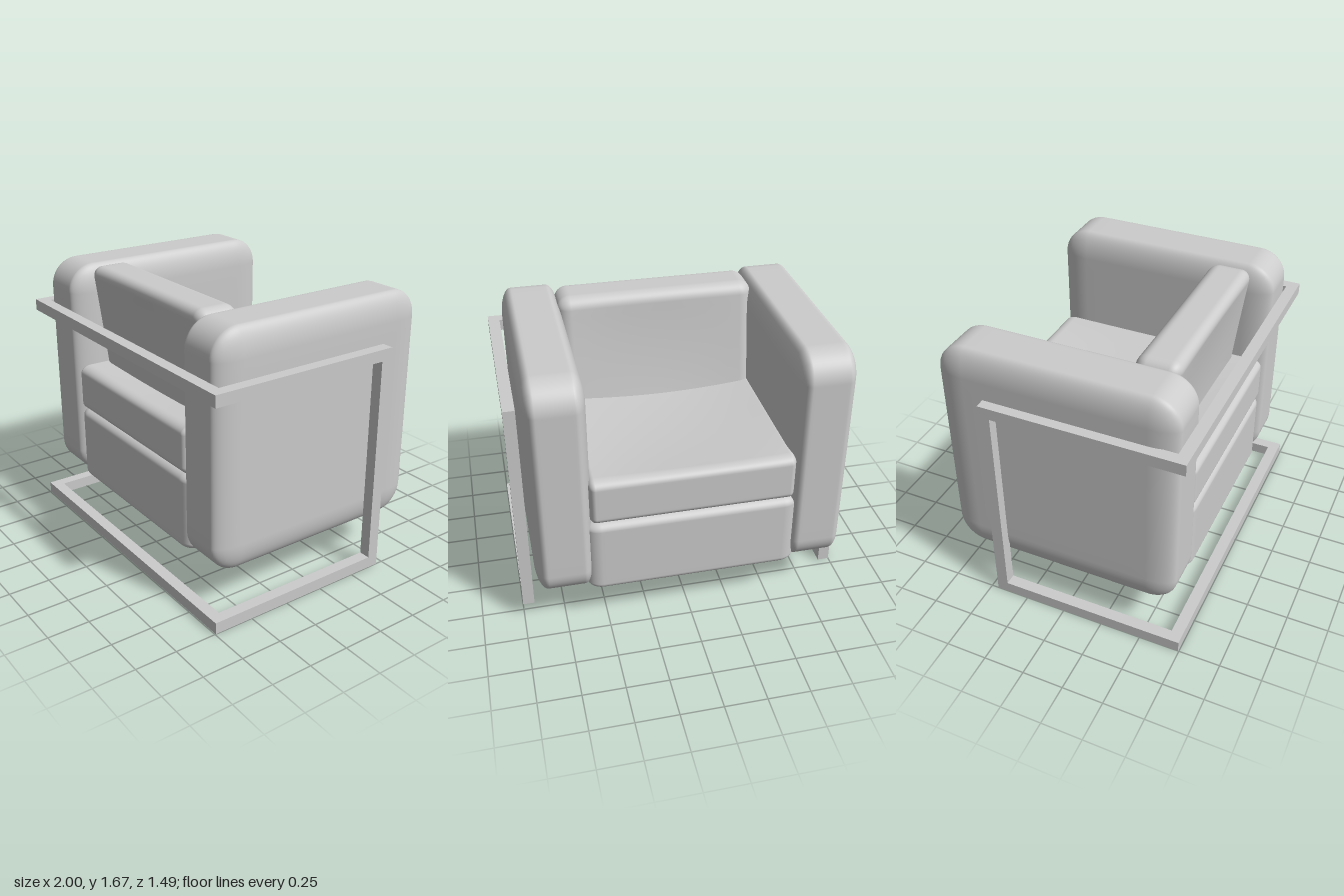
import * as THREE from 'three';
import { mergeVertices } from 'three/addons/utils/BufferGeometryUtils.js';

const material = new THREE.MeshStandardMaterial({ color: 0xcccccc });

// Padded block: a box with a separate rounding radius per axis; warp(p, u) may then dish or lean it.
// u is the vertex position inside the block, from -1 to 1 on each axis.
function cushion(name, min, max, radii, warp) {
  const n = 28;
  const edge = 0.5; // share of the grid spent on the rounded borders
  let geometry = new THREE.BoxGeometry(2, 2, 2, n, n, n);
  geometry.deleteAttribute('uv');
  geometry.deleteAttribute('normal');
  geometry = mergeVertices(geometry, 1e-4);
  const pos = geometry.attributes.position;
  const lo = new THREE.Vector3(...min), hi = new THREE.Vector3(...max);
  const r = new THREE.Vector3(...radii);
  const centre = lo.clone().add(hi).multiplyScalar(0.5);
  const half = hi.clone().sub(lo).multiplyScalar(0.5);
  const p = new THREE.Vector3(), flat = new THREE.Vector3(), round = new THREE.Vector3();
  for (let i = 0; i < pos.count; i++) {
    p.fromBufferAttribute(pos, i);
    for (const a of ['x', 'y', 'z']) {
      const t = Math.abs(p[a]), s = Math.sign(p[a]);
      flat[a] = s * Math.min(t / (1 - edge), 1) * (half[a] - r[a]);
      round[a] = s * Math.tan(Math.max(0, (t - 1 + edge) / edge) * Math.PI / 4);
    }
    p.copy(flat).add(round.normalize().multiply(r));
    const u = p.clone().divide(half);
    p.add(centre);
    if (warp) warp(p, u);
    pos.setXYZ(i, p.x, p.y, p.z);
  }
  geometry.computeVertexNormals();
  const mesh = new THREE.Mesh(geometry, material);
  mesh.name = name;
  return mesh;
}

// Square bar between two corners
function bar(name, min, max) {
  const size = max.map((v, i) => v - min[i]);
  const mesh = new THREE.Mesh(new THREE.BoxGeometry(...size), material);
  mesh.position.set(...max.map((v, i) => (v + min[i]) / 2));
  mesh.name = name;
  return mesh;
}

export function createModel() {
  const model = new THREE.Group();
  model.name = 'armchair';
  const hollow = (a, b) => (1 - a * a) * (1 - b * b);

  // Upholstery, opening towards -z
  const armRadii = [0.07, 0.17, 0.17];
  model.add(
    cushion('leftArm', [0.565, 0.265, -0.745], [0.915, 1.675, 0.675], armRadii),
    cushion('rightArm', [-0.94, 0.265, -0.745], [-0.59, 1.675, 0.675], armRadii),
    cushion('seatBase', [-0.645, 0.27, -0.735], [0.615, 0.755, 0.66], [0.09, 0.05, 0.07]),
    cushion('seatCushion', [-0.62, 0.75, -0.735], [0.59, 1.045, 0.66], [0.04, 0.05, 0.07], (p, u) => {
      if (u.y > 0) p.y -= 0.045 * u.y * hollow(u.x, u.z);
    }),
    // Backrest leans outward and is slightly pinched in the middle
    cushion('backrest', [-0.62, 0.85, 0.25], [0.59, 1.675, 0.52], [0.08, 0.07, 0.07], (p, u) => {
      p.z -= 0.02 * u.z * hollow(u.x, u.y);
      p.z += 0.13 * (p.y - 1.42);
    }),
  );

  // Square-section frame: two U-shaped rails joined by the front posts
  const t = 0.07, front = -0.455, back = 0.745, top = 1.4;
  const frame = new THREE.Group();
  frame.name = 'frame';
  for (const [level, y] of [['lower', 0], ['upper', top - t]]) {
    frame.add(bar(level + 'BackRail', [-1, y, back - t], [1, y + t, back]));
    for (const [side, x] of [['Left', 1 - t], ['Right', -1]]) {
      frame.add(bar(level + side + 'Rail', [x, y, front + t], [x + t, y + t, back - t]));
    }
  }
  frame.add(
    bar('leftPost', [1 - t, 0, front], [1, top, front + t]),
    bar('rightPost', [-1, 0, front], [-1 + t, top, front + t]),
  );
  model.add(frame);
  return model;
}
